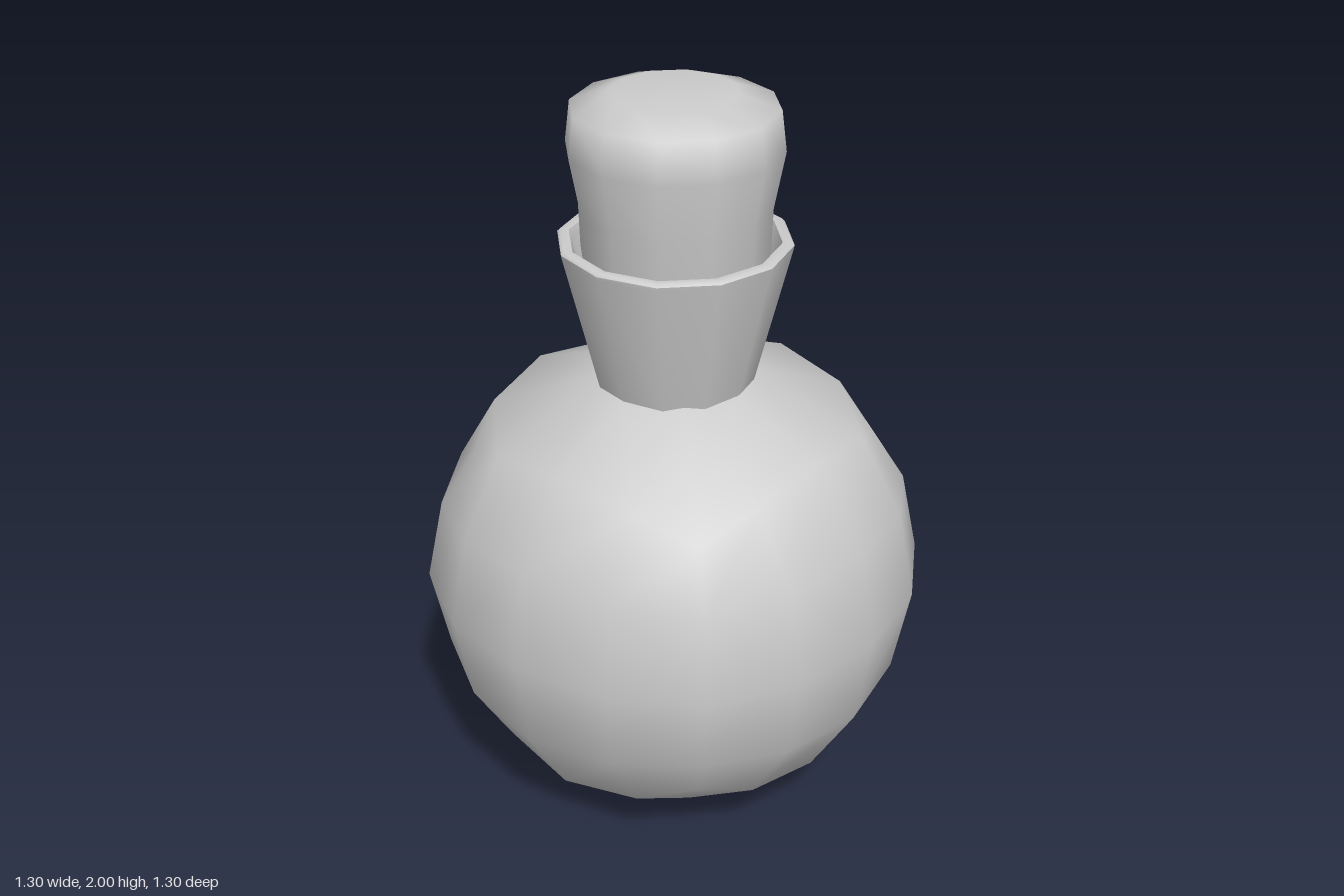
import * as THREE from 'three';
import { mergeVertices, toCreasedNormals } from 'three/addons/utils/BufferGeometryUtils.js';

const SIDES = 12;
const BODY_Y = 0.655;
const MOUTH = { radius: 0.205, y: 1.238 };

// Where each kind of cube-grid point lands on the rounded body: grid distance -> final distance
const ROUNDED = {
  '0,0,1': { 0: 0, 1: 0.652 },
  '0,0.5,1': { 0: 0, 0.5: 0.259, 1: 0.607 },
  '0,1,1': { 0: 0, 1: 0.477 },
  '0.5,0.5,1': { 0.5: 0.241, 1: 0.566 },
  '0.5,1,1': { 0.5: 0.224, 1: 0.444 },
  '1,1,1': { 1: 0.377 },
};

// Subdivided cube rounded into a low-poly ball, its top patch pulled into the neck ring
function bodyGeometry() {
  const box = new THREE.BoxGeometry(2, 2, 2, 4, 4, 4);
  box.deleteAttribute('uv');
  box.deleteAttribute('normal');
  const geo = mergeVertices(box);
  const pos = geo.attributes.position;
  for (let i = 0; i < pos.count; i++) {
    const p = [pos.getX(i), pos.getY(i), pos.getZ(i)];
    const [x, y, z] = p;
    const map = ROUNDED[p.map(Math.abs).sort().join(',')];
    const [rx, ry, rz] = p.map((c) => Math.sign(c) * map[Math.abs(c)]);
    if (y === 1 && Math.abs(x) < 1 && Math.abs(z) < 1) {
      const k = MOUTH.radius / (Math.hypot(x, z) || 1);
      pos.setXYZ(i, x * k, MOUTH.y, z * k);
    } else {
      pos.setXYZ(i, rx, ry + BODY_Y, rz);
    }
  }
  geo.computeVertexNormals();
  return geo;
}

function lathe(profile) {
  return new THREE.LatheGeometry(profile.map(([r, y]) => new THREE.Vector2(r, y)), SIDES);
}

export function createModel() {
  const group = new THREE.Group();
  const material = new THREE.MeshStandardMaterial({ color: 0xcccccc, side: THREE.DoubleSide });
  const add = (name, geometry) => {
    const mesh = new THREE.Mesh(geometry, material);
    mesh.name = name;
    group.add(mesh);
  };

  add('body', bodyGeometry());

  // Flared collar with a thin rounded lip and an inner wall
  add('neck', toCreasedNormals(lathe([
    [0.2, 1.2], [0.21, 1.238], [0.3, 1.605], [0.302, 1.615], [0.295, 1.622],
    [0.272, 1.62], [0.265, 1.6], [0.19, 1.28],
  ]), 0.9));

  // Stopper bulging towards a soft, flat top
  add('stopper', lathe([
    [0, 1.36], [0.2, 1.36], [0.243, 1.58], [0.247, 1.71],
    [0.275, 1.86], [0.262, 1.965], [0.16, 2], [0, 2],
  ]));

  return group;
}
